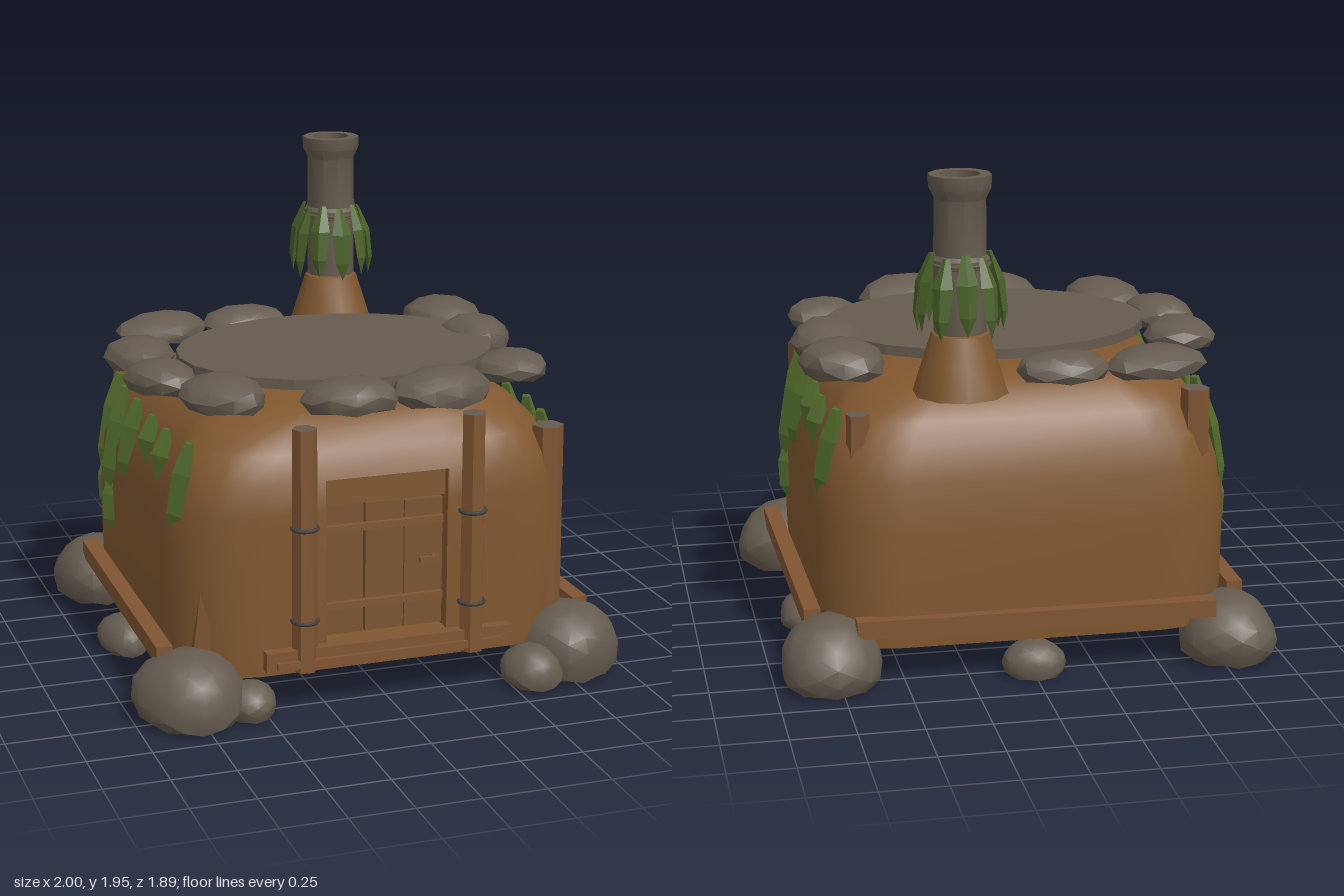
import * as THREE from 'three';
import { toCreasedNormals } from 'three/addons/utils/BufferGeometryUtils.js';

const mat = (name, color, double) => {
  const m = new THREE.MeshStandardMaterial({ color });
  m.name = name;
  if (double) m.side = THREE.DoubleSide;
  return m;
};

export function createModel() {
  const root = new THREE.Group();
  root.name = 'clayHut';
  const clay = mat('clay', 0x80572f, true);
  const wood = mat('wood', 0x805532);
  const doorWood = mat('doorWood', 0x7a5330);
  const stone = mat('stone', 0x655b4f);
  const slab = mat('slab', 0x655a4e, true);
  const iron = mat('iron', 0x424242);
  const leafGreen = mat('leafGreen', 0x526c2c);
  const ivyDark = mat('darkIvy', 0x4a6228);

  const add = (name, geo, m, x = 0, y = 0, z = 0, parent = root) => {
    const mesh = new THREE.Mesh(geo, m);
    mesh.name = name;
    mesh.position.set(x, y, z);
    parent.add(mesh);
    return mesh;
  };
  // box given by its minimum and maximum on each axis
  const box = (name, m, x0, x1, y0, y1, z0, z1) =>
    add(name, new THREE.BoxGeometry(x1 - x0, y1 - y0, z1 - z0), m, (x0 + x1) / 2, (y0 + y1) / 2, (z0 + z1) / 2);

  // Clay shell: rounded rectangles stacked upward, with a door opening in front
  // each level: y, half width, front z, back z, corner radius
  const levels = [
    [0.14, 0.8, 0.76, -0.79, 0.29], [0.25, 0.81, 0.765, -0.795, 0.3],
    [0.6, 0.82, 0.77, -0.79, 0.31], [0.78, 0.805, 0.77, -0.77, 0.31],
    [0.9, 0.77, 0.765, -0.74, 0.3], [1.0, 0.715, 0.72, -0.69, 0.29],
    [1.07, 0.65, 0.67, -0.63, 0.3], [1.12, 0.58, 0.58, -0.55, 0.3], [1.15, 0.49, 0.47, -0.45, 0.23],
  ];
  const pos = [], idx = [], seg = 5;
  let n = 0;
  for (const [y, w, zf, zb, r] of levels) {
    const loop = [[-0.25, zf], [0.25, zf]];
    [[w - r, zf - r], [w - r, zb + r], [-w + r, zb + r], [-w + r, zf - r]].forEach(([cx, cz], k) => {
      for (let i = 0; i <= seg; i++) {
        const a = Math.PI / 2 * (1 - k - i / seg);
        loop.push([cx + r * Math.cos(a), cz + r * Math.sin(a)]);
      }
    });
    n = loop.length;
    loop.forEach(([x, z]) => pos.push(x, y, z));
  }
  for (let j = 0; j < levels.length - 1; j++) {
    for (let i = 0; i < n; i++) {
      if (i === 0 && j >= 1 && j <= 3) continue; // door opening
      const a = j * n + i, b = j * n + (i + 1) % n;
      idx.push(a, b, b + n, a, b + n, a + n);
    }
  }
  const top = (levels.length - 1) * n;
  pos.push(0, 1.16, 0);
  for (let i = 0; i < n; i++) idx.push(top + i, top + (i + 1) % n, top + n);
  const shell = new THREE.BufferGeometry();
  shell.setAttribute('position', new THREE.Float32BufferAttribute(pos, 3));
  shell.setIndex(idx);
  shell.computeVertexNormals();
  add('clayShell', shell, clay);

  // Door recess, door boards and battens
  for (const s of [-1, 1]) box('doorJamb', clay, s * 0.25 - 0.005, s * 0.25 + 0.005, 0.25, 0.9, 0.68, 0.764);
  box('doorLintel', clay, -0.25, 0.25, 0.79, 0.9, 0.68, 0.735);
  box('doorSill', clay, -0.25, 0.25, 0.24, 0.25, 0.68, 0.764);
  [-0.16, 0.005, 0.165].forEach((x, i) => {
    box('doorBoard', doorWood, x - 0.078, x + 0.078, 0.26, 0.785 - i * 0.006, 0.685, 0.715);
  });
  box('doorBacking', doorWood, -0.245, 0.245, 0.25, 0.8, 0.675, 0.69);
  for (const y of [0.38, 0.69]) box('doorBatten', wood, -0.24, 0.24, y - 0.014, y + 0.014, 0.71, 0.735);
  box('doorHandle', wood, 0.14, 0.22, 0.525, 0.545, 0.735, 0.75);
  box('handleStem', wood, 0.195, 0.21, 0.525, 0.545, 0.71, 0.737);

  // Six-sided log with grey cut ends
  const log = (name, x, z, y0, y1, r) => {
    const g = new THREE.CylinderGeometry(r, r * 1.05, y1 - y0, 6).toNonIndexed();
    g.computeVertexNormals();
    return add(name, g, [wood, stone, stone], x, (y0 + y1) / 2, z);
  };

  // Door posts with iron rings
  for (const s of [-1, 1]) {
    log('doorPost', s * 0.34, 0.785, 0.16, 1.12, 0.048).rotation.y = Math.PI / 6 + s * 0.1;
    for (const y of [0.36, 0.73]) {
      const ring = add('postRing', new THREE.TorusGeometry(0.05, 0.008, 6, 16), iron, s * 0.34, y, 0.785);
      ring.rotation.x = Math.PI / 2;
    }
  }

  // Corner posts, partly sunk into the clay
  log('cornerPost', 0.71, 0.645, 0.16, 1.0, 0.062).rotation.y = 0.3;
  log('cornerPost', -0.69, 0.65, 0.16, 0.52, 0.055).rotation.z = -0.12;
  log('cornerPost', -0.665, -0.64, 0.5, 1.07, 0.055).rotation.y = 0.3;
  log('cornerPost', 0.65, -0.63, 0.5, 1.03, 0.045).rotation.y = 0.3;

  // Base beams
  box('backBeam', wood, -0.71, 0.69, 0.2, 0.27, -0.84, -0.775).rotation.y = -0.012;
  for (const s of [-1, 1]) box('sideBeam', wood, s * 0.85 - 0.032, s * 0.85 + 0.032, 0.2, 0.27, -0.65, 0.66).rotation.y = s * 0.015;
  box('frontBeam', wood, -0.5, 0.5, 0.17, 0.25, 0.745, 0.81);
  box('frontStep', wood, -0.46, 0.46, 0.18, 0.21, 0.8, 0.825);

  // Stones: lumpy flattened balls with flat undersides
  const rock = (name, detail, x, z, rx, rz, y0, y1, turn = 0) => {
    const g = new THREE.IcosahedronGeometry(1, detail), p = g.attributes.position;
    const seed = x * 13 + z * 7;
    for (let i = 0; i < p.count; i++) {
      const a = p.getX(i), b = p.getY(i), c = p.getZ(i);
      const k = 0.97 + 0.06 * Math.sin(3 * a + seed) * Math.cos(2.5 * c - seed) + 0.03 * Math.sin(4 * b + 3 * c + seed);
      const v = Math.max(b, -0.5);
      p.setXYZ(i, a * k * rx, y0 + (v + 0.5) / 1.5 * (y1 - y0), c * k * rz);
    }
    add(name, toCreasedNormals(g, 0.5), stone, x, 0, z).rotation.y = turn;
  };
  for (const [x, z, rx, rz, h] of [
    [-0.78, 0.72, 0.225, 0.23, 0.27], [0.78, 0.71, 0.22, 0.22, 0.28], [-0.79, -0.73, 0.2, 0.22, 0.26],
    [0.78, -0.73, 0.2, 0.23, 0.27], [0.59, 0.82, 0.13, 0.13, 0.16], [-0.56, 0.78, 0.11, 0.11, 0.14],
    [0, -0.79, 0.13, 0.11, 0.14], [0.8, -0.08, 0.11, 0.15, 0.13], [-0.84, -0.06, 0.11, 0.15, 0.14],
  ]) rock('groundStone', 2, x, z, rx, rz, 0, h);
  for (const [x, z, rx, rz, h, turn] of [
    [-0.5, -0.65, 0.21, 0.16, 1.25, 0.3], [-0.14, -0.66, 0.19, 0.135, 1.25, 0], [0.68, -0.43, 0.165, 0.2, 1.28, 0.4],
    [0.69, -0.08, 0.15, 0.19, 1.28, 0], [0.65, 0.4, 0.16, 0.15, 1.25, 0.4], [0.26, 0.66, 0.21, 0.155, 1.28, 0.15],
    [-0.12, 0.66, 0.2, 0.14, 1.27, -0.1], [-0.56, 0.47, 0.16, 0.2, 1.27, 0.4], [-0.72, 0.15, 0.14, 0.175, 1.26, 0.2],
    [-0.71, -0.23, 0.145, 0.18, 1.26, -0.15],
  ]) rock('roofStone', 1, x, z, rx, rz, 1.14, h, turn);

  // Roof slab
  const disc = add('roofSlab', toCreasedNormals(new THREE.CylinderGeometry(1, 1, 0.04, 24), 0.2), slab, 0.04, 1.205, 0.025);
  disc.scale.set(0.65, 1, 0.535);

  // Chimney: clay foot and hollow stone pipe
  const chimney = new THREE.Group();
  chimney.name = 'chimney';
  chimney.position.set(0.27, 0, -0.71);
  root.add(chimney);
  const lathe = (points, sides, crease) =>
    toCreasedNormals(new THREE.LatheGeometry(points.map(([r, y]) => new THREE.Vector2(r, y)), sides).toNonIndexed(), crease);
  add('chimneyFoot', lathe([[0.182, 1.12], [0.145, 1.24], [0.11, 1.35], [0.09, 1.36]], 10, 0.7), clay, 0, 0, 0, chimney);
  add('chimneyPipe', lathe([[0.1, 1.33], [0.1, 1.6], [0.115, 1.605], [0.115, 1.635], [0.1, 1.65], [0.098, 1.86], [0.118, 1.9],
    [0.12, 1.95], [0.078, 1.95], [0.075, 1.35]], 10, 0.7), slab, 0, 0, 0, chimney);
  const band = add('chimneyBand', new THREE.TorusGeometry(0.117, 0.006, 6, 20), stone, 0, 1.62, 0, chimney);
  band.rotation.x = Math.PI / 2;

  // Four-sided faceted leaf hanging down from its top
  const leafGeo = (profile, w, h, t) => {
    const g = new THREE.LatheGeometry(profile.map(([r, y]) => new THREE.Vector2(r, y)), 4).toNonIndexed();
    g.scale(w / 2, h, t / 2);
    g.computeVertexNormals();
    return g;
  };
  const pointed = [[0, -1], [1, -0.45], [0.35, 0], [0, 0]];
  const blunt = [[0, -1], [0.45, -1], [0.95, -0.82], [1, -0.35], [0.4, 0], [0, 0]];

  // Leaf collar around the chimney, arching out and down
  for (let i = 0; i < 10; i++) {
    const g = leafGeo([[0, -1], [0.75, -0.75], [1, -0.35], [0.35, 0], [0, 0]], 0.085, 0.3, 0.04);
    const p = g.attributes.position;
    for (let k = 0; k < p.count; k++) {
      const u = -p.getY(k) / 0.3;
      p.setZ(k, p.getZ(k) + 0.112 + 0.052 * Math.sin(Math.min(u * 2.2, 1.9)));
    }
    g.computeVertexNormals();
    const leaf = add('chimneyLeaf', g, ivyDark, 0, 1.65 + 0.015 * (i % 2), 0, chimney);
    leaf.rotation.y = i / 10 * Math.PI * 2;
  }

  // Ivy on both sides: z, top, length, width
  const lean = new THREE.Vector3(0, 0, 1);
  for (const s of [1, -1]) {
    const ivy = new THREE.Group();
    ivy.name = s > 0 ? 'leftIvy' : 'rightIvy';
    if (s < 0) ivy.rotation.y = Math.PI;
    root.add(ivy);
    for (const [z, y, h, w] of [[0.54, 1.03, 0.4, 0.14], [0.33, 1.03, 0.42, 0.14], [0.12, 1.03, 0.32, 0.13],
      [-0.12, 1.03, 0.22, 0.11], [-0.33, 1.03, 0.23, 0.11], [-0.54, 1.03, 0.34, 0.13],
      [0.52, 0.68, 0.22, 0.13], [0.32, 0.66, 0.23, 0.08]]) {
      const upper = y > 0.9;
      const inset = Math.abs(z) > 0.5 ? 0.03 : 0; // follow the rounded corners
      const leaf = add('ivyLeaf', leafGeo(h > 0.3 || !upper ? blunt : pointed, w, h, 0.09), leafGreen, (upper ? 0.75 : 0.815) - inset, y, z, ivy);
      leaf.rotation.y = Math.PI / 2;
      leaf.quaternion.premultiply(new THREE.Quaternion().setFromAxisAngle(lean, upper ? 0.18 : -0.02));
    }
  }

  // Iron rods lying inside
  for (const x of [-0.03, 0.04, 0.11]) {
    const rod = add('innerRod', new THREE.CylinderGeometry(0.022, 0.022, 0.34, 8), iron, x, 0.26, 0.45);
    rod.rotation.x = Math.PI / 2;
  }
  return root;
}
